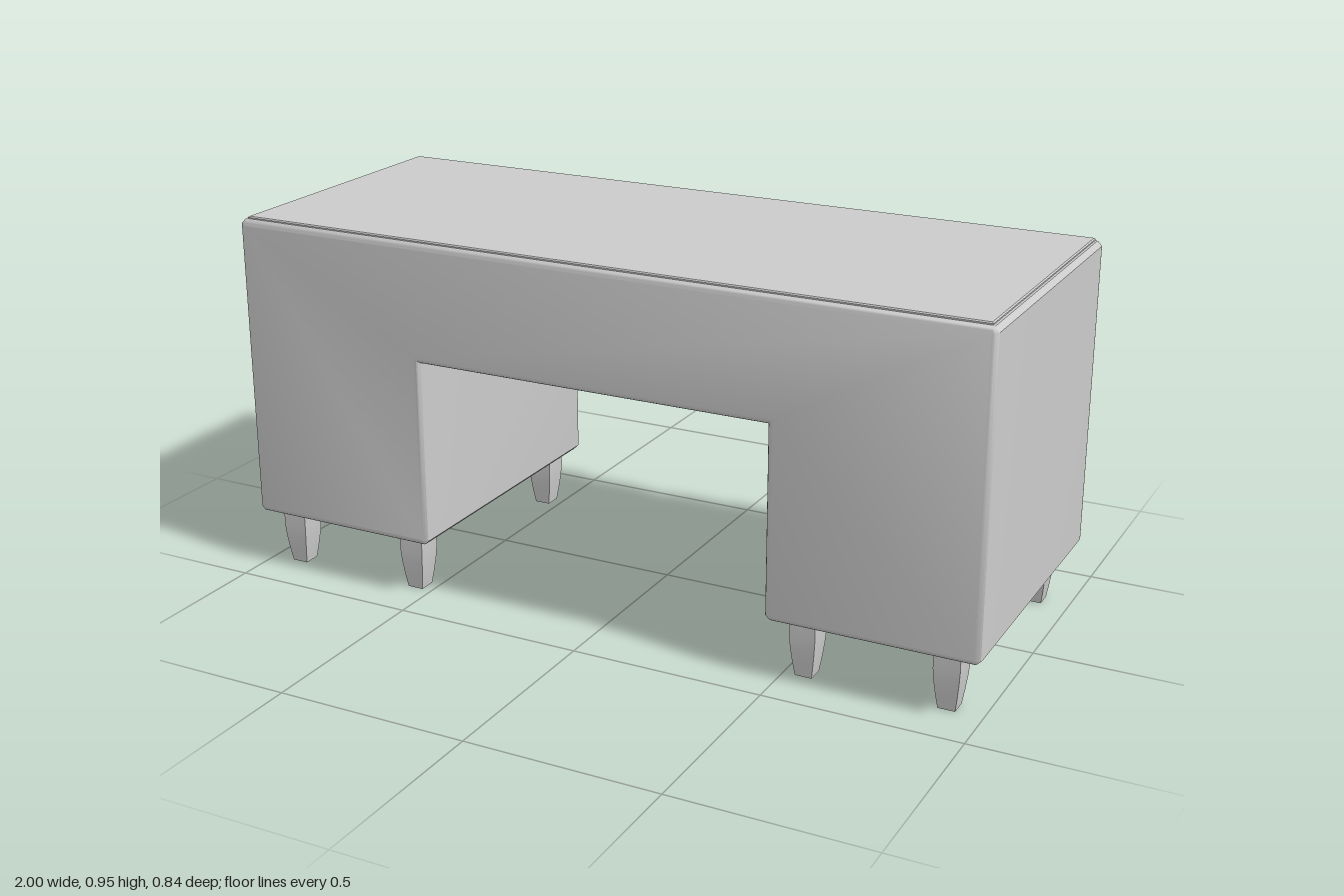
import * as THREE from 'three';
import { toCreasedNormals } from 'three/addons/utils/BufferGeometryUtils.js';

const material = new THREE.MeshStandardMaterial({ color: 0xcccccc });

function add(parent, name, geometry, x = 0, y = 0, z = 0) {
  const mesh = new THREE.Mesh(geometry, material);
  mesh.name = name;
  mesh.position.set(x, y, z);
  parent.add(mesh);
  return mesh;
}

// Rectangular sections [width, height, z], z rising, joined and capped at both ends
function loft(sections, crease) {
  const pos = [];
  const index = [];
  for (const [w, h, z] of sections) {
    for (const [sx, sy] of [[-1, -1], [1, -1], [1, 1], [-1, 1]]) pos.push(sx * w / 2, sy * h / 2, z);
  }
  for (let s = 0; s < sections.length - 1; s++) {
    for (let i = 0; i < 4; i++) {
      const a = s * 4 + i;
      const b = s * 4 + (i + 1) % 4;
      index.push(a, b, b + 4, a, b + 4, a + 4);
    }
  }
  const t = (sections.length - 1) * 4;
  index.push(0, 2, 1, 0, 3, 2, t, t + 1, t + 2, t, t + 2, t + 3);
  const g = new THREE.BufferGeometry();
  g.setAttribute('position', new THREE.Float32BufferAttribute(pos, 3));
  g.setIndex(index);
  return toCreasedNormals(g, crease);
}

// Desk carcass: an arch outline with softly rounded edges
function carcassGeometry() {
  const b = 0.015;
  const c = 0.003;
  const x = 1 - b, y0 = 0.15 + b, y1 = 0.947 - b;
  const l = -0.473 - b, r = 0.468 + b, top = 0.64 + b;
  const outline = [
    [-x + c, y0], [l - c, y0], [l, y0 + c], [l, top], [r, top], [r, y0 + c], [r + c, y0],
    [x - c, y0], [x, y0 + c], [x, y1 - c], [x - c, y1], [-x + c, y1], [-x, y1 - c], [-x, y0 + c],
  ].map(([px, py]) => new THREE.Vector2(px, py));
  const g = new THREE.ExtrudeGeometry(new THREE.Shape(outline), {
    depth: 0.795 - 2 * b, bevelEnabled: true, bevelThickness: b, bevelSize: b, bevelSegments: 4,
  });
  g.translate(0, 0, -0.375 + b);
  return toCreasedNormals(g, 0.7);
}

// Raised drawer front with a rounded slope; insets ix and iy narrow its face
function drawerFront(w, h, ix, iy) {
  const steps = [[0, -0.01], [0, 0.002], [0.12, 0.009], [0.4, 0.018], [0.75, 0.024], [1, 0.026]];
  const g = loft(steps.map(([k, z]) => [w - 2 * ix * k, h - 2 * iy * k, z]), 0.6);
  return g.rotateY(Math.PI);
}

// Wedge-shaped bar pull
function handle(w) {
  const profile = new THREE.Shape([
    new THREE.Vector2(-0.006, 0.001), new THREE.Vector2(0.018, 0),
    new THREE.Vector2(0.019, 0.003), new THREE.Vector2(0.006, 0.022), new THREE.Vector2(-0.006, 0.016),
  ]);
  const g = new THREE.ExtrudeGeometry(profile, { depth: w, bevelEnabled: false });
  return g.translate(0, 0, -w / 2).rotateY(Math.PI / 2);
}

function drawer(name, x, y, w, h, ix, iy, handleWidth, handleY) {
  const group = new THREE.Group();
  group.name = name;
  add(group, name + 'Front', drawerFront(w, h, ix, iy), x, y, -0.375);
  add(group, name + 'Handle', handle(handleWidth), x, handleY, -0.401);
  return group;
}

export function createModel() {
  const desk = new THREE.Group();
  desk.name = 'desk';

  add(desk, 'carcass', carcassGeometry());

  // Thin raised top, slightly smaller than the carcass
  const topPanel = loft([[1.964, 0.772, 0], [1.964, 0.772, 0.011], [1.958, 0.766, 0.014]], 0.4);
  add(desk, 'topPanel', topPanel.rotateX(-Math.PI / 2), 0, 0.939, 0.0205);

  // Two drawers in each pedestal and a wide one between them
  for (const [side, x] of [['left', 0.733], ['right', -0.738]]) {
    desk.add(drawer(side + 'UpperDrawer', x, 0.748, 0.462, 0.335, 0.036, 0.036, 0.2, 0.83));
    desk.add(drawer(side + 'LowerDrawer', x, 0.347, 0.462, 0.335, 0.036, 0.036, 0.2, 0.429));
  }
  desk.add(drawer('centreDrawer', -0.002, 0.793, 0.725, 0.232, 0.012, 0.03, 0.306, 0.83));

  // Square legs tapering to the foot
  const legGeometry = loft([
    [0.043, 0.045, 0], [0.053, 0.056, 0.035], [0.062, 0.066, 0.075], [0.066, 0.07, 0.105], [0.066, 0.07, 0.155],
  ], 0.5).rotateX(-Math.PI / 2);
  for (const x of [-0.918, -0.548, 0.552, 0.91]) {
    add(desk, 'frontLeg', legGeometry, x, 0, 0.347);
    add(desk, 'backLeg', legGeometry, x, 0, -0.304);
  }
  return desk;
}
